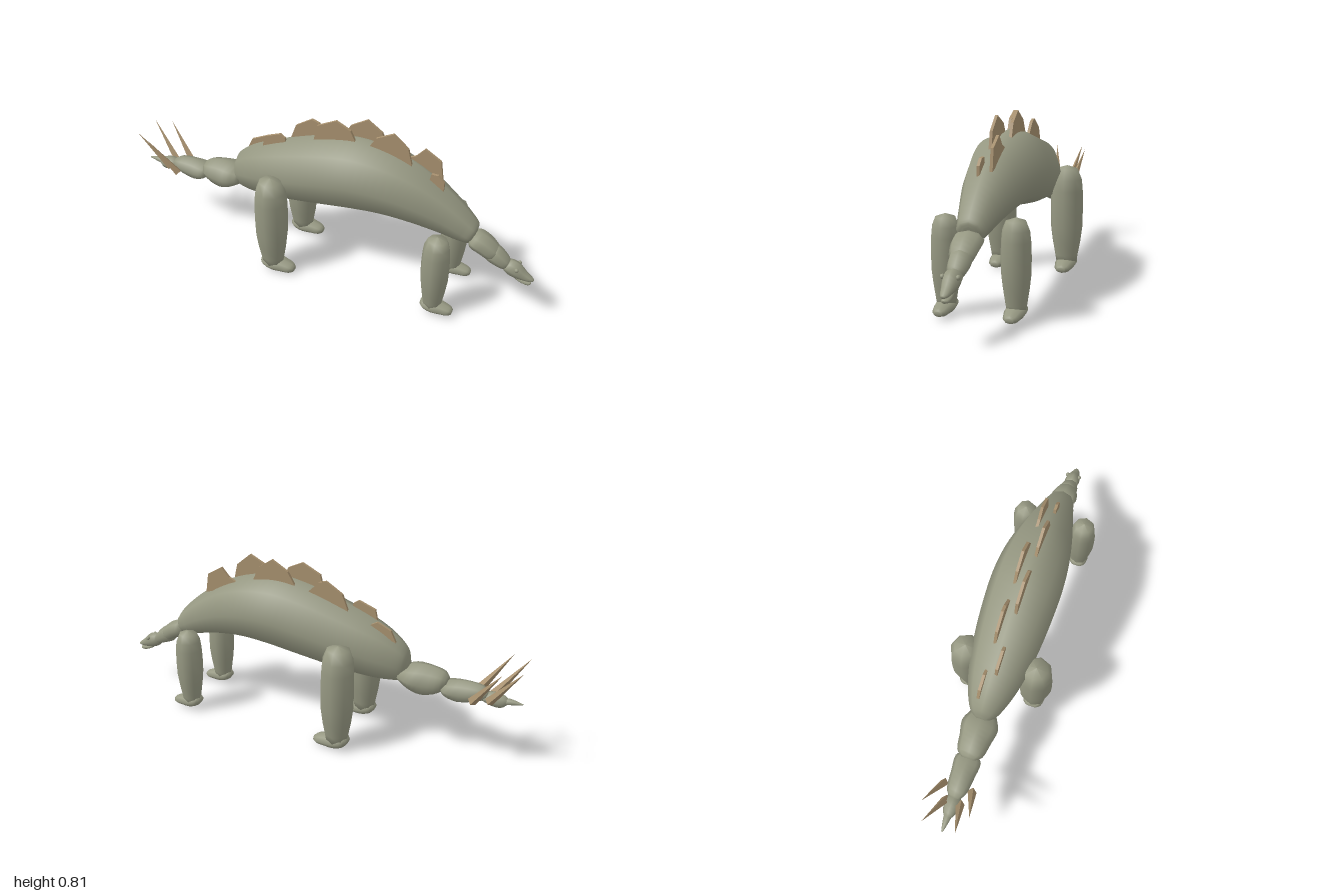
import * as THREE from 'three';

const hide = new THREE.MeshStandardMaterial({ color: 0x979983 });
hide.name = 'hide';
const horn = new THREE.MeshStandardMaterial({ color: 0xa8916f });
horn.name = 'horn';

// Skin through rings given as [topX, topY, bottomX, bottomY, halfWidth], running towards +x
function loft(rings, steps = 3, sides = 8) {
  const top = new THREE.CatmullRomCurve3(rings.map(r => new THREE.Vector3(r[0], r[1], r[4])));
  const low = new THREE.CatmullRomCurve3(rings.map(r => new THREE.Vector3(r[2], r[3], 0)));
  const n = (rings.length - 1) * steps;
  const pos = [], idx = [];
  for (let i = 0; i <= n; i++) {
    const a = top.getPoint(i / n), b = low.getPoint(i / n);
    for (let j = 0; j < sides; j++) {
      const t = (j / sides) * Math.PI * 2, k = (1 + Math.cos(t)) / 2;
      pos.push(b.x + (a.x - b.x) * k, b.y + (a.y - b.y) * k, a.z * Math.sin(t));
      if (i < n) {
        const p = i * sides + j, q = i * sides + (j + 1) % sides;
        idx.push(p, q, p + sides, q, q + sides, p + sides);
      }
    }
  }
  // end caps
  for (const end of [0, 1]) {
    const r = rings[end ? rings.length - 1 : 0], c = pos.length / 3, o = end * n * sides;
    pos.push((r[0] + r[2]) / 2, (r[1] + r[3]) / 2, 0);
    for (let j = 0; j < sides; j++) {
      const p = o + j, q = o + (j + 1) % sides;
      if (end) idx.push(c, p, q); else idx.push(c, q, p);
    }
  }
  const g = new THREE.BufferGeometry();
  g.setAttribute('position', new THREE.Float32BufferAttribute(pos, 3));
  g.setIndex(idx);
  g.computeVertexNormals();
  return g;
}

export function createModel() {
  const model = new THREE.Group();
  model.name = 'platedDinosaur';
  const add = (name, geometry, material = hide, parent = model) => {
    const m = new THREE.Mesh(geometry, material);
    m.name = name;
    parent.add(m);
    return m;
  };

  // arched body
  add('body', loft([
    [-0.49, 0.43, -0.485, 0.37, 0.025], [-0.47, 0.495, -0.455, 0.33, 0.06],
    [-0.40, 0.558, -0.39, 0.318, 0.095], [-0.30, 0.61, -0.29, 0.322, 0.126],
    [-0.16, 0.663, -0.15, 0.338, 0.15], [0, 0.712, 0.02, 0.362, 0.164],
    [0.15, 0.735, 0.17, 0.383, 0.167], [0.30, 0.715, 0.30, 0.392, 0.155],
    [0.45, 0.658, 0.43, 0.38, 0.128], [0.60, 0.557, 0.56, 0.357, 0.092],
    [0.69, 0.475, 0.64, 0.34, 0.07], [0.725, 0.43, 0.69, 0.338, 0.055],
    [0.725, 0.405, 0.705, 0.35, 0.025],
  ], 4));

  // neck beads
  add('neckBase', loft([
    [0.70, 0.385, 0.69, 0.345, 0.03], [0.735, 0.395, 0.70, 0.325, 0.062],
    [0.785, 0.375, 0.745, 0.30, 0.062], [0.835, 0.33, 0.79, 0.275, 0.045],
    [0.835, 0.318, 0.80, 0.28, 0.02],
  ]));
  add('neckFront', loft([
    [0.79, 0.34, 0.765, 0.30, 0.025], [0.825, 0.342, 0.775, 0.275, 0.046],
    [0.86, 0.315, 0.82, 0.252, 0.045], [0.885, 0.285, 0.86, 0.24, 0.032],
    [0.885, 0.275, 0.87, 0.245, 0.015],
  ]));

  // head, jaw and eyes
  add('head', loft([
    [0.86, 0.272, 0.853, 0.245, 0.018], [0.89, 0.288, 0.87, 0.226, 0.035],
    [0.925, 0.28, 0.905, 0.208, 0.036], [0.96, 0.247, 0.945, 0.203, 0.026],
    [0.99, 0.222, 0.98, 0.202, 0.017], [1.0, 0.213, 0.995, 0.203, 0.008],
  ]));
  add('jaw', loft([
    [0.915, 0.22, 0.91, 0.205, 0.015], [0.945, 0.207, 0.935, 0.19, 0.018],
    [0.985, 0.197, 0.975, 0.18, 0.015], [0.99, 0.193, 0.985, 0.182, 0.008],
  ]));
  for (const s of [1, -1]) {
    add(s > 0 ? 'leftEye' : 'rightEye', new THREE.SphereGeometry(0.01, 8, 6))
      .position.set(0.922, 0.264, s * 0.031);
  }

  // tail beads
  add('tailBase', loft([
    [-0.67, 0.39, -0.665, 0.345, 0.03], [-0.645, 0.415, -0.64, 0.315, 0.06],
    [-0.58, 0.432, -0.56, 0.285, 0.075], [-0.51, 0.425, -0.50, 0.31, 0.086],
    [-0.45, 0.40, -0.45, 0.34, 0.06],
  ]));
  add('tailMiddle', loft([
    [-0.85, 0.365, -0.845, 0.33, 0.025], [-0.82, 0.385, -0.815, 0.315, 0.045],
    [-0.74, 0.393, -0.72, 0.288, 0.056], [-0.67, 0.378, -0.66, 0.312, 0.06],
    [-0.64, 0.365, -0.64, 0.33, 0.035],
  ]));
  add('tailEnd', loft([
    [-0.94, 0.345, -0.94, 0.325, 0.012], [-0.92, 0.36, -0.91, 0.302, 0.028],
    [-0.87, 0.368, -0.87, 0.305, 0.036], [-0.83, 0.355, -0.83, 0.32, 0.028],
  ]));
  add('tailTip', loft([
    [-1.0, 0.34, -1.0, 0.335, 0.004], [-0.95, 0.351, -0.95, 0.325, 0.015],
    [-0.91, 0.35, -0.91, 0.315, 0.02],
  ]));

  // tail spikes, in mirrored pairs: base to tip
  const up = new THREE.Vector3(0, 1, 0);
  const spikes = [
    [[-0.862, 0.335, 0.033], [-1.0, 0.522, 0.075]],
    [[-0.795, 0.335, 0.065], [-0.92, 0.512, 0.108]],
  ];
  for (const [b, t] of spikes) for (const s of [1, -1]) {
    const base = new THREE.Vector3(b[0], b[1], b[2] * s);
    const dir = new THREE.Vector3(t[0], t[1], t[2] * s).sub(base);
    const g = new THREE.ConeGeometry(0.021, dir.length(), 4).toNonIndexed();
    g.computeVertexNormals();
    const m = add('tailSpike', g, horn);
    m.position.copy(base).addScaledVector(dir, 0.5);
    m.quaternion.setFromUnitVectors(up, dir.clone().normalize());
  }

  // legs with forward-pointing feet
  const legs = {
    hind: {
      x: -0.212, z: 0.169,
      profile: [[0, 0.03], [0.05, 0.04], [0.057, 0.08], [0.07, 0.15], [0.079, 0.22],
        [0.081, 0.32], [0.079, 0.40], [0.074, 0.455], [0.053, 0.507], [0, 0.523]],
    },
    fore: {
      x: 0.588, z: 0.15,
      profile: [[0, 0.03], [0.04, 0.035], [0.046, 0.07], [0.057, 0.14], [0.064, 0.2],
        [0.065, 0.27], [0.063, 0.33], [0.058, 0.375], [0.043, 0.412], [0, 0.427]],
    },
  };
  const foot = loft([
    [-0.058, 0.055, -0.055, 0.035, 0.025], [-0.04, 0.074, -0.04, 0.018, 0.045],
    [0.015, 0.07, 0, 0.005, 0.053], [0.06, 0.06, 0.055, 0.004, 0.044],
    [0.10, 0.047, 0.09, 0.005, 0.034], [0.113, 0.035, 0.11, 0.012, 0.018],
  ]);
  for (const [kind, { x, z, profile }] of Object.entries(legs)) for (const s of [1, -1]) {
    const leg = new THREE.Group();
    leg.name = (s > 0 ? 'left' : 'right') + (kind === 'hind' ? 'HindLeg' : 'ForeLeg');
    leg.position.set(x, 0, s * z);
    model.add(leg);
    add('limb', new THREE.LatheGeometry(profile.map(p => new THREE.Vector2(...p)), 8), hide, leg);
    const f = add('foot', foot, hide, leg);
    if (kind === 'fore') f.scale.setScalar(0.88);
    f.position.y = kind === 'fore' ? 0.008 : 0;
  }

  // two staggered rows of back plates, outlines in x and y
  const rows = [
    { z: -0.031, plates: [
      [[-0.43, 0.525], [-0.405, 0.577], [-0.34, 0.607], [-0.31, 0.59], [-0.31, 0.56]],
      [[-0.2, 0.63], [-0.17, 0.708], [-0.09, 0.757], [-0.055, 0.745], [0, 0.69]],
      [[0.06, 0.70], [0.10, 0.77], [0.18, 0.816], [0.25, 0.768], [0.28, 0.70]],
      [[0.34, 0.66], [0.41, 0.69], [0.45, 0.735], [0.525, 0.69], [0.54, 0.595]],
    ] },
    { z: 0.017, plates: [
      [[-0.325, 0.575], [-0.31, 0.642], [-0.23, 0.672], [-0.205, 0.655], [-0.2, 0.62]],
      [[-0.06, 0.68], [-0.04, 0.762], [0.05, 0.806], [0.12, 0.772], [0.15, 0.71]],
      [[0.2, 0.70], [0.24, 0.765], [0.32, 0.804], [0.39, 0.745], [0.41, 0.665]],
      [[0.49, 0.60], [0.5, 0.65], [0.53, 0.649], [0.56, 0.62], [0.56, 0.577]],
    ] },
  ];
  for (const { z, plates } of rows) for (const outline of plates) {
    const shape = new THREE.Shape(outline.map(p => new THREE.Vector2(...p)));
    add('backPlate', new THREE.ExtrudeGeometry(shape, { depth: 0.013, bevelEnabled: false }), horn)
      .position.z = z - 0.0065;
  }
  return model;
}
